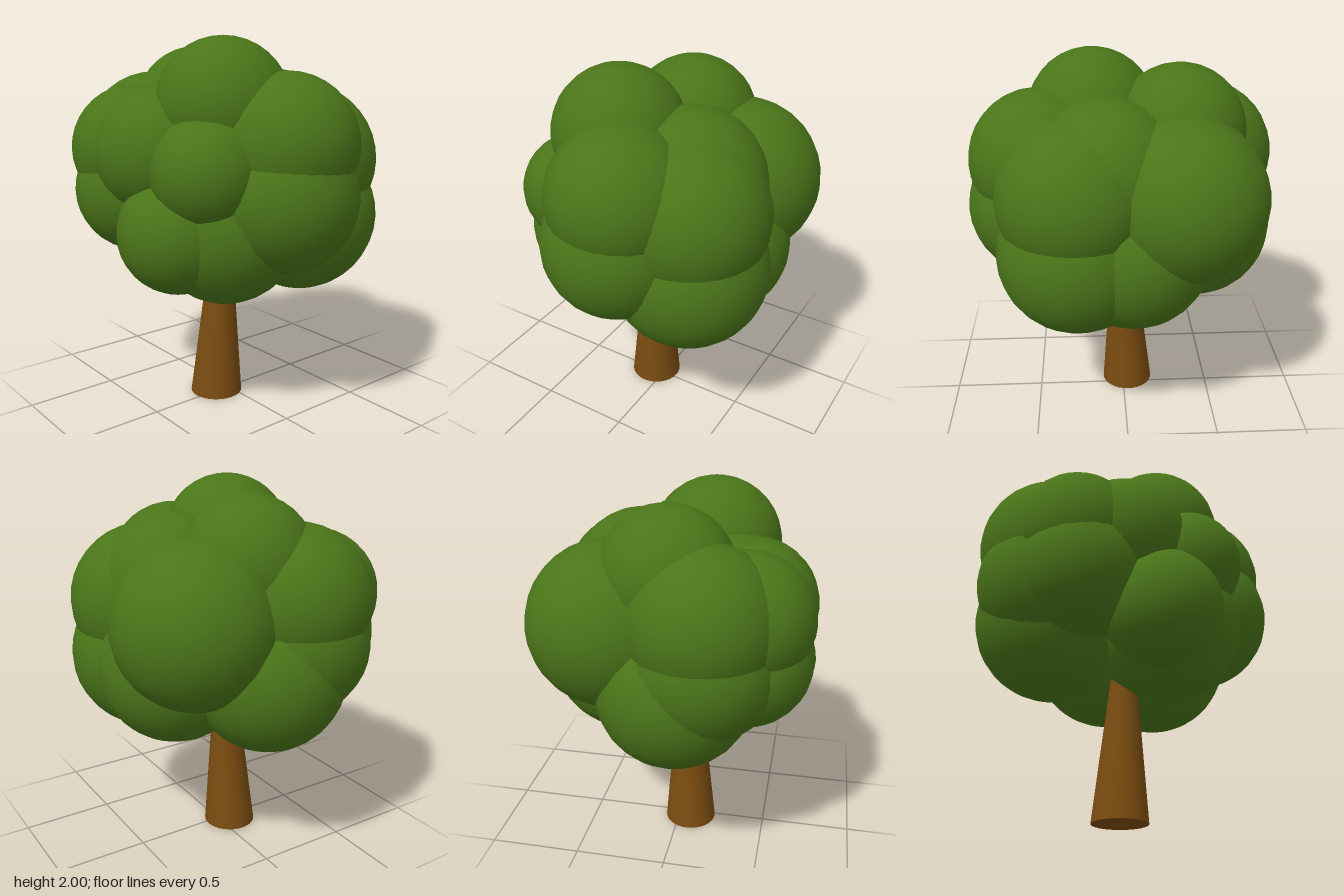
import * as THREE from 'three';

const leafMaterial = new THREE.MeshStandardMaterial({ color: 0x4a7519 });
const barkMaterial = new THREE.MeshStandardMaterial({ color: 0x7a4c10 });

// Leaf clumps: [x, y, z, radius]
const clumps = {
  crownTop: [
    [-0.16, 1.65, 0.16, 0.35],
    [0.01, 1.6, -0.29, 0.35],
    [0.22, 1.43, 0.1, 0.4],
    [-0.23, 1.45, 0, 0.36],
  ],
  crownFront: [
    [0.02, 1.46, 0.44, 0.37],
    [0, 1.2, 0.44, 0.39],
    [-0.35, 1.34, 0.28, 0.29],
  ],
  crownLeft: [
    [0.31, 1.33, -0.29, 0.43],
    [0.3, 1.35, 0.25, 0.41],
    [0.3, 1.05, 0.25, 0.42],
    [0.29, 1.05, -0.04, 0.41],
  ],
  crownBack: [
    [-0.19, 1.42, -0.43, 0.39],
    [-0.19, 1.2, -0.43, 0.39],
    [-0.05, 1.05, -0.4, 0.41],
  ],
  crownRight: [
    [-0.39, 1.41, -0.32, 0.34],
    [-0.39, 1.41, -0.08, 0.34],
    [-0.39, 1.19, -0.3, 0.34],
    [-0.42, 1.02, 0.12, 0.315],
    [-0.18, 1.03, 0.2, 0.4],
  ],
  crownCore: [[0, 1.2, 0, 0.4]],
};

function createTrunk() {
  const height = 1;
  const geometry = new THREE.CylinderGeometry(0.048, 0.145, height, 32);
  geometry.translate(0, height / 2, 0);
  // Slight lean
  const shear = new THREE.Matrix4().set(
    1, 0.02, 0, -0.067,
    0, 1, 0, 0,
    0, 0.03, 1, -0.026,
    0, 0, 0, 1,
  );
  geometry.applyMatrix4(shear);
  const trunk = new THREE.Mesh(geometry, barkMaterial);
  trunk.name = 'trunk';
  return trunk;
}

export function createModel() {
  const tree = new THREE.Group();
  tree.name = 'tree';
  tree.add(createTrunk());

  // Crown of overlapping round clumps
  const ball = new THREE.SphereGeometry(1, 28, 18);
  for (const [name, list] of Object.entries(clumps)) {
    const section = new THREE.Group();
    section.name = name;
    list.forEach(([x, y, z, r], i) => {
      const clump = new THREE.Mesh(ball, leafMaterial);
      clump.name = `leafClump${i + 1}`;
      clump.position.set(x, y, z);
      clump.scale.setScalar(r);
      section.add(clump);
    });
    tree.add(section);
  }
  return tree;
}
